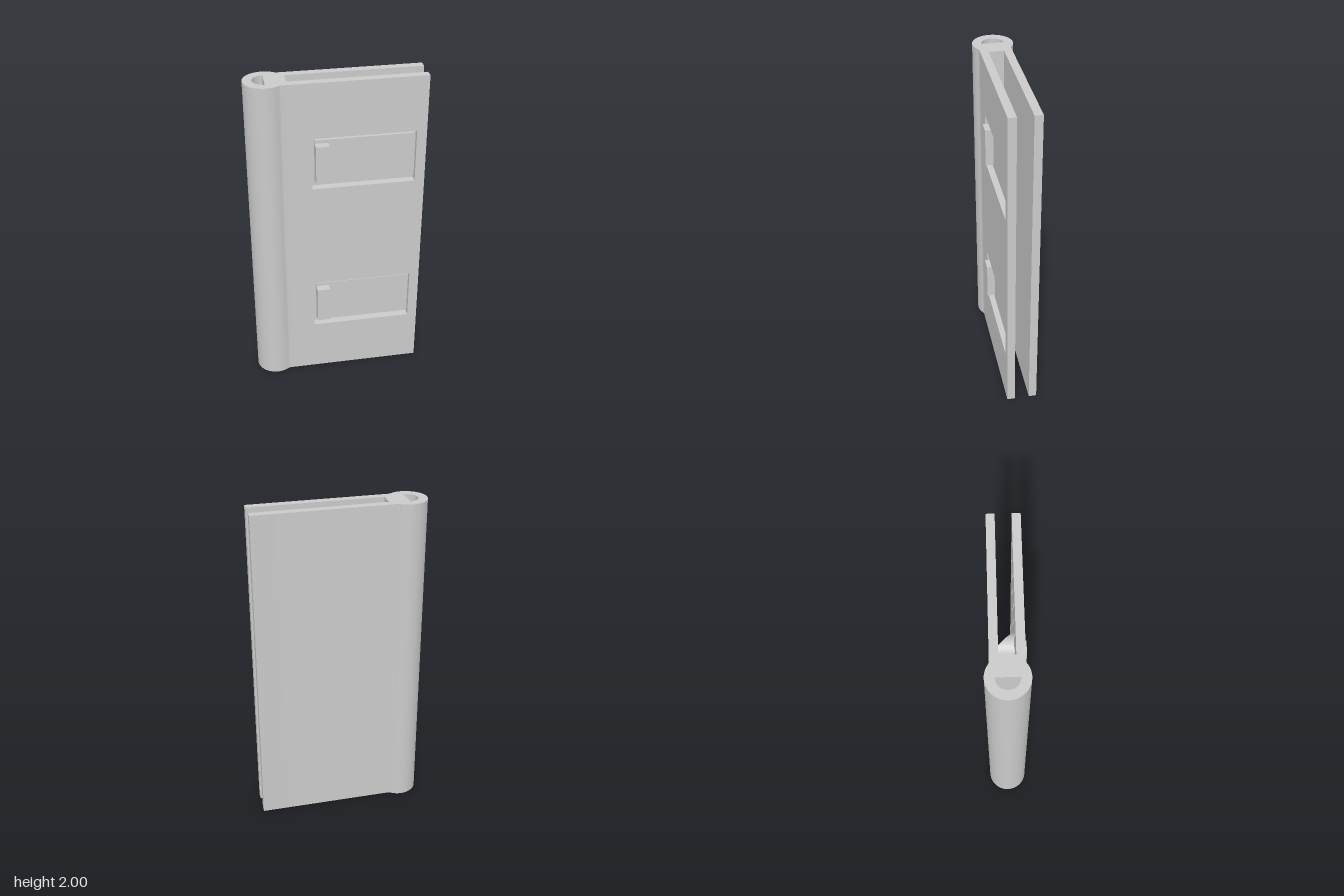
import * as THREE from 'three';
import { toCreasedNormals } from 'three/addons/utils/BufferGeometryUtils.js';

const HEIGHT = 2;
const RIGHT = 0.519;          // free edge of both plates
const BARREL_X = -0.399, BARREL_R = 0.12, BORE_R = 0.066;
const OUTER = 0.093, INNER = 0.045; // plate faces, distance from the middle plane
const ROOT_X = -0.28;         // bottom of the slot between the plates
const FILLET = 0.03;          // blend between barrel and plates
const LATCH_YS = [0.5, 1.5];

export function createModel() {
  const model = new THREE.Group();
  const grey = new THREE.MeshStandardMaterial({ color: 0xcacaca });
  grey.name = 'grey';

  const add = (parent, name, geometry) => {
    const mesh = new THREE.Mesh(geometry, grey);
    mesh.name = name;
    parent.add(mesh);
    return mesh;
  };
  const box = (parent, name, [x0, x1], [y0, y1], [z0, z1]) =>
    add(parent, name, new THREE.BoxGeometry(x1 - x0, y1 - y0, z1 - z0))
      .position.set((x0 + x1) / 2, (y0 + y1) / 2, (z0 + z1) / 2);

  // Barrel, root and back plate: one profile extruded upwards
  const filletY = OUTER + FILLET;
  const a = Math.asin(filletY / (BARREL_R + FILLET));
  const filletX = BARREL_X + (BARREL_R + FILLET) * Math.cos(a);
  const profile = new THREE.Shape();
  profile.moveTo(ROOT_X, -OUTER);
  profile.lineTo(ROOT_X, INNER);
  profile.lineTo(RIGHT, INNER);
  profile.lineTo(RIGHT, OUTER);
  profile.lineTo(filletX, OUTER);
  profile.absarc(filletX, filletY, FILLET, 1.5 * Math.PI, Math.PI + a, true);
  profile.absarc(BARREL_X, 0, BARREL_R, a, 2 * Math.PI - a, false);
  profile.absarc(filletX, -filletY, FILLET, Math.PI - a, Math.PI / 2, true);
  profile.closePath();
  const bore = new THREE.Path();
  bore.absarc(BARREL_X, 0, BORE_R, Math.PI / 2, 1.5 * Math.PI, false);
  bore.closePath();
  profile.holes.push(bore);
  const body = new THREE.ExtrudeGeometry(profile, { depth: HEIGHT, bevelEnabled: false, curveSegments: 40 });
  body.rotateX(-Math.PI / 2);
  add(model, 'barrelAndBackPlate', toCreasedNormals(body, 0.5));

  // Front plate with a window for each latch
  const rectangle = (path, x0, x1, y0, y1) => {
    path.moveTo(x0, y0);
    path.lineTo(x1, y0);
    path.lineTo(x1, y1);
    path.lineTo(x0, y1);
    path.closePath();
    return path;
  };
  const plate = rectangle(new THREE.Shape(), ROOT_X, RIGHT, 0, HEIGHT);
  for (const y of LATCH_YS) {
    plate.holes.push(rectangle(new THREE.Path(), -0.152, 0.46, y - 0.163, y + 0.163));
  }
  const front = new THREE.ExtrudeGeometry(plate, { depth: OUTER - INNER, bevelEnabled: false });
  front.translate(0, 0, INNER);
  add(model, 'frontPlate', front);

  // Latch pin: round, its free end cut flat on one side and slanted on the other
  const pinR = 0.068, pinX = -0.033, breakX = -0.0565;
  const b = Math.acos((breakX - pinX) / pinR);
  const pinPart = (from, to, slanted) => {
    const shape = new THREE.Shape();
    shape.absarc(pinX, 0, pinR, from, to, false);
    shape.closePath();
    const g = new THREE.ExtrudeGeometry(shape, { depth: 2 * INNER, bevelEnabled: false, curveSegments: 32 });
    g.translate(0, 0, -INNER);
    const p = g.attributes.position;
    for (let i = 0; slanted && i < p.count; i++) {
      if (p.getZ(i) < 0) p.setZ(i, Math.min(INNER, p.getX(i) - breakX - INNER));
    }
    return toCreasedNormals(g, 0.5);
  };
  const flatPin = pinPart(b, 2 * Math.PI - b, false);
  const slantedPin = pinPart(-b, b, true);

  // Spring latches: thin tongue, thumb pad in front, pin behind
  LATCH_YS.forEach((y, i) => {
    const latch = new THREE.Group();
    latch.name = i ? 'upperLatch' : 'lowerLatch';
    latch.position.y = y;
    box(latch, 'tongue', [-0.131, 0.46], [-0.138, 0.138], [INNER, 0.063]);
    box(latch, 'thumbPad', [-0.131, -0.052], [-0.117, 0.117], [0.063, 0.112]);
    add(latch, 'pinFlatEnd', flatPin);
    add(latch, 'pinSlantedEnd', slantedPin);
    model.add(latch);
  });

  return model;
}
